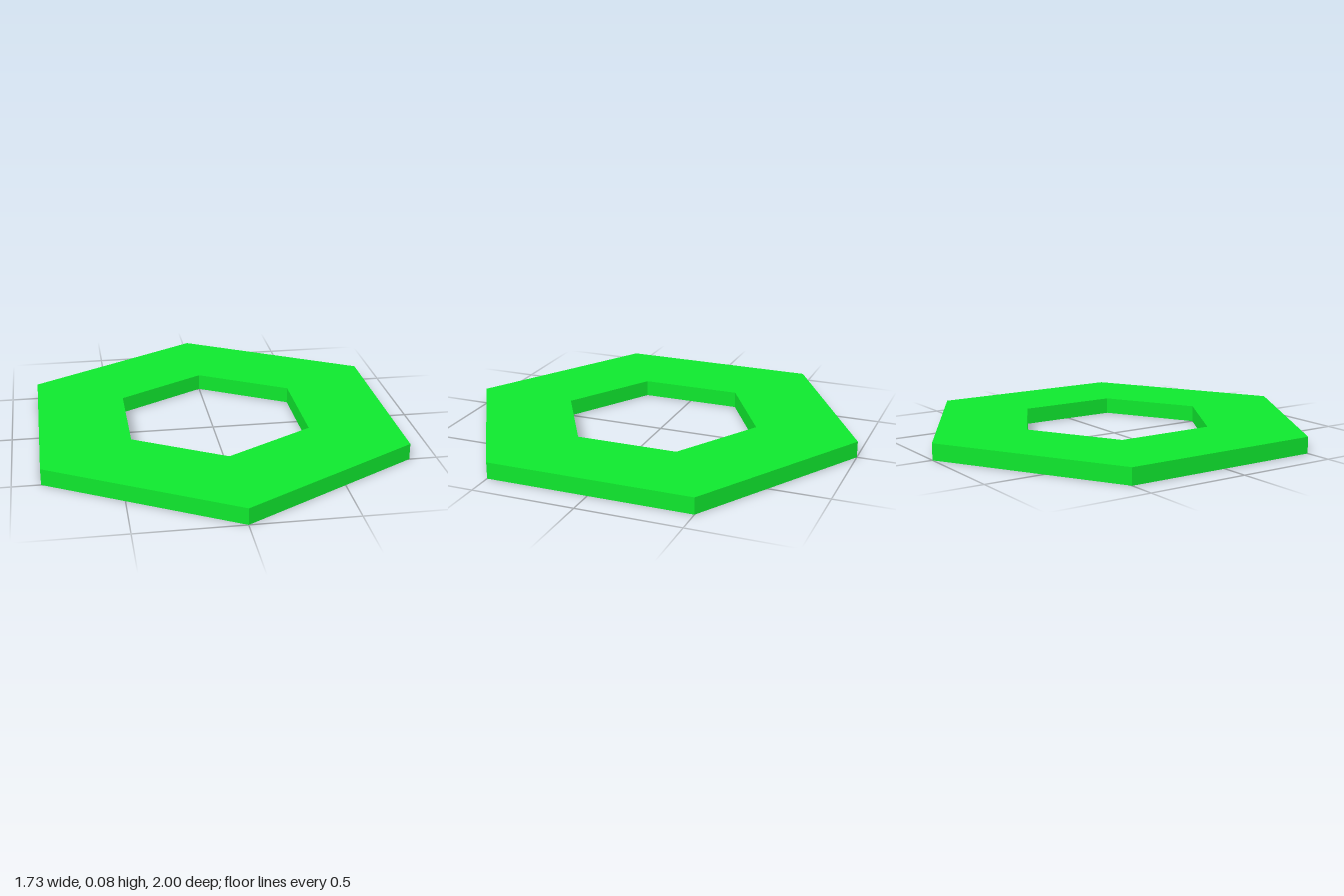
import * as THREE from 'three';

const OUTER_RADIUS = 1;
const INNER_RADIUS = 0.5;
const THICKNESS = 0.08;

// Corners of a regular hexagon with a point on the +y axis of the shape
function hexagon(radius) {
  return Array.from({ length: 6 }, (_, i) => {
    const a = Math.PI / 2 + (i * Math.PI) / 3;
    return new THREE.Vector2(radius * Math.cos(a), radius * Math.sin(a));
  });
}

export function createModel() {
  const group = new THREE.Group();
  group.name = 'hexagonalRing';

  // Flat hexagonal plate with a hexagonal opening
  const outline = new THREE.Shape(hexagon(OUTER_RADIUS));
  outline.holes.push(new THREE.Path(hexagon(INNER_RADIUS)));
  const geometry = new THREE.ExtrudeGeometry(outline, { depth: THICKNESS, bevelEnabled: false });
  geometry.rotateX(-Math.PI / 2); // lay flat, standing on y = 0

  const ring = new THREE.Mesh(
    geometry,
    new THREE.MeshStandardMaterial({ color: 0x0fe82e, flatShading: true })
  );
  ring.name = 'ringPlate';
  group.add(ring);
  return group;
}
